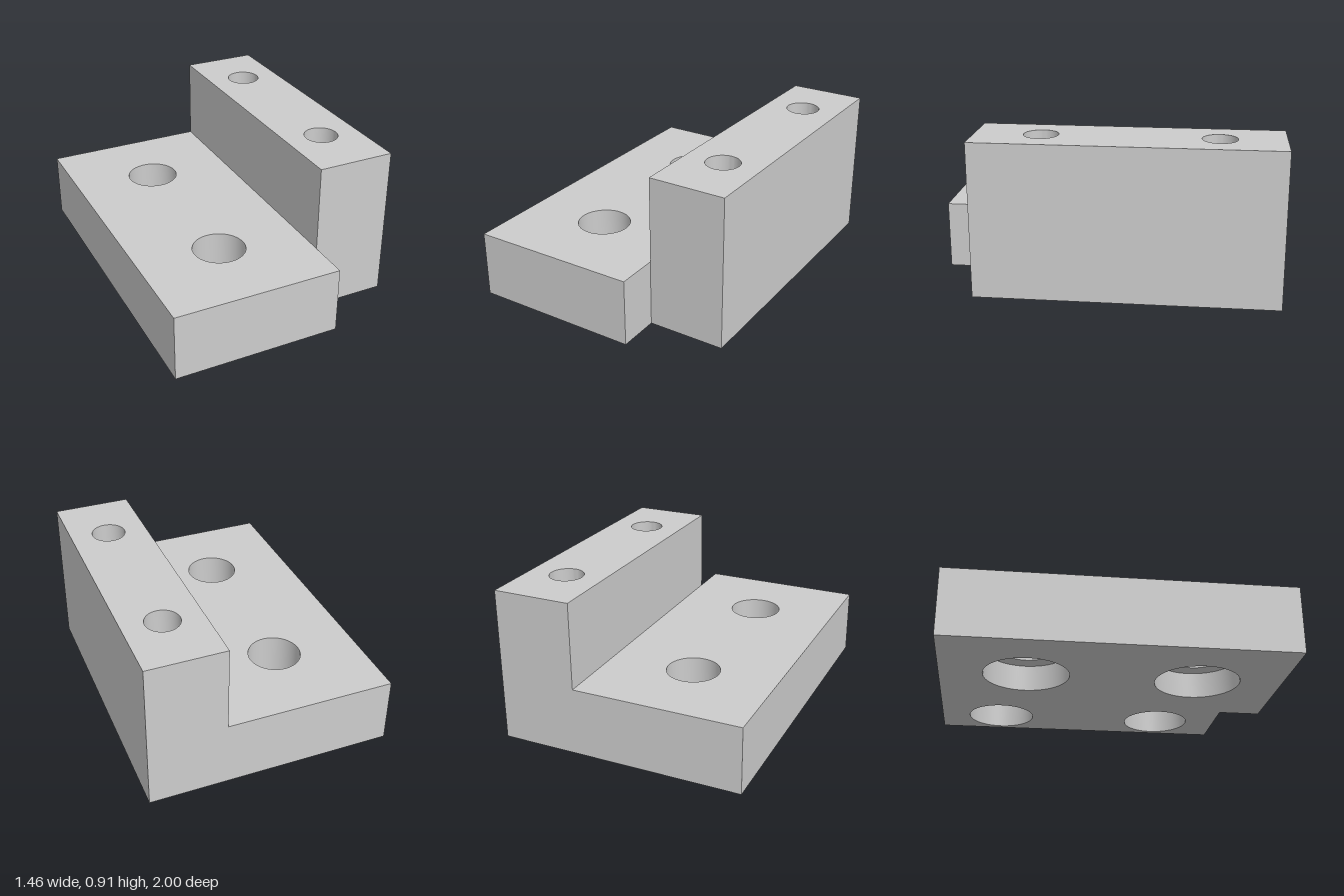
import * as THREE from 'three';
import { toCreasedNormals } from 'three/addons/utils/BufferGeometryUtils.js';

const LEFT = 0.73, STEP = 0.27, BACK = -1, FRONT = 1, NOTCH = 0.75;
const BASE_H = 0.4, TALL_H = 0.91;

// Stepped bores: narrow radius r at the top, counterbore R of the given depth below
const baseBores = [-0.5, 0.5].map(z => ({ x: -0.23, z, r: 0.155, R: 0.25, depth: 0.155, top: BASE_H }));
const tallBores = [-0.63, 0.37].map(z => ({ x: 0.5, z, r: 0.1, R: 0.2, depth: 0.62, top: TALL_H }));

// Horizontal face with round holes; points are [x, z]
function cap(points, holes, y, up) {
  const s = up ? -1 : 1;
  const shape = new THREE.Shape(points.map(([x, z]) => new THREE.Vector2(x, s * z)));
  for (const h of holes) {
    shape.holes.push(new THREE.Path().absarc(h.x, s * h.z, up ? h.r : h.R, 0, Math.PI * 2, true));
  }
  return new THREE.ShapeGeometry(shape, 32).rotateX(s * Math.PI / 2).translate(0, y, 0);
}

// Vertical faces along a path of [x, z] points
function wall(path, y0, y1) {
  const pos = [];
  for (let i = 0; i < path.length - 1; i++) {
    const [ax, az] = path[i], [bx, bz] = path[i + 1];
    pos.push(ax, y0, az, bx, y0, bz, bx, y1, bz, ax, y0, az, bx, y1, bz, ax, y1, az);
  }
  const g = new THREE.BufferGeometry();
  g.setAttribute('position', new THREE.Float32BufferAttribute(pos, 3));
  g.computeVertexNormals();
  return g;
}

// Inside of a stepped bore, running from the top rim down
function bore({ x, z, r, R, depth, top }) {
  const profile = [[r, top], [r, depth], [R, depth], [R, 0]].map(p => new THREE.Vector2(...p));
  return toCreasedNormals(new THREE.LatheGeometry(profile, 64), 0.6).translate(x, 0, z);
}

export function createModel() {
  const model = new THREE.Group();
  model.name = 'steppedMountingBlock';
  const grey = new THREE.MeshStandardMaterial({ color: 0xcccccc, side: THREE.DoubleSide });
  grey.name = 'grey';
  const add = (name, geometry) => {
    const mesh = new THREE.Mesh(geometry, grey);
    mesh.name = name;
    model.add(mesh);
  };

  // Low base plate
  const baseOutline = [[STEP, BACK], [-LEFT, BACK], [-LEFT, FRONT], [STEP, FRONT]];
  add('baseTop', cap(baseOutline, baseBores, BASE_H, true));
  add('baseSides', wall([...baseOutline, [STEP, NOTCH]], 0, BASE_H));

  // Tall side rail, set back from the front
  const railOutline = [[STEP, NOTCH], [LEFT, NOTCH], [LEFT, BACK], [STEP, BACK]];
  add('railTop', cap(railOutline, tallBores, TALL_H, true));
  add('railSides', wall(railOutline, 0, TALL_H));
  add('railInnerFace', wall([[STEP, BACK], [STEP, NOTCH]], BASE_H, TALL_H));

  // Shared underside
  const footprint = [[-LEFT, BACK], [LEFT, BACK], [LEFT, NOTCH], [STEP, NOTCH], [STEP, FRONT], [-LEFT, FRONT]];
  add('underside', cap(footprint, [...baseBores, ...tallBores], 0, false));

  // Bolt holes
  baseBores.forEach((b, i) => add('baseBore' + (i + 1), bore(b)));
  tallBores.forEach((b, i) => add('railBore' + (i + 1), bore(b)));
  return model;
}
